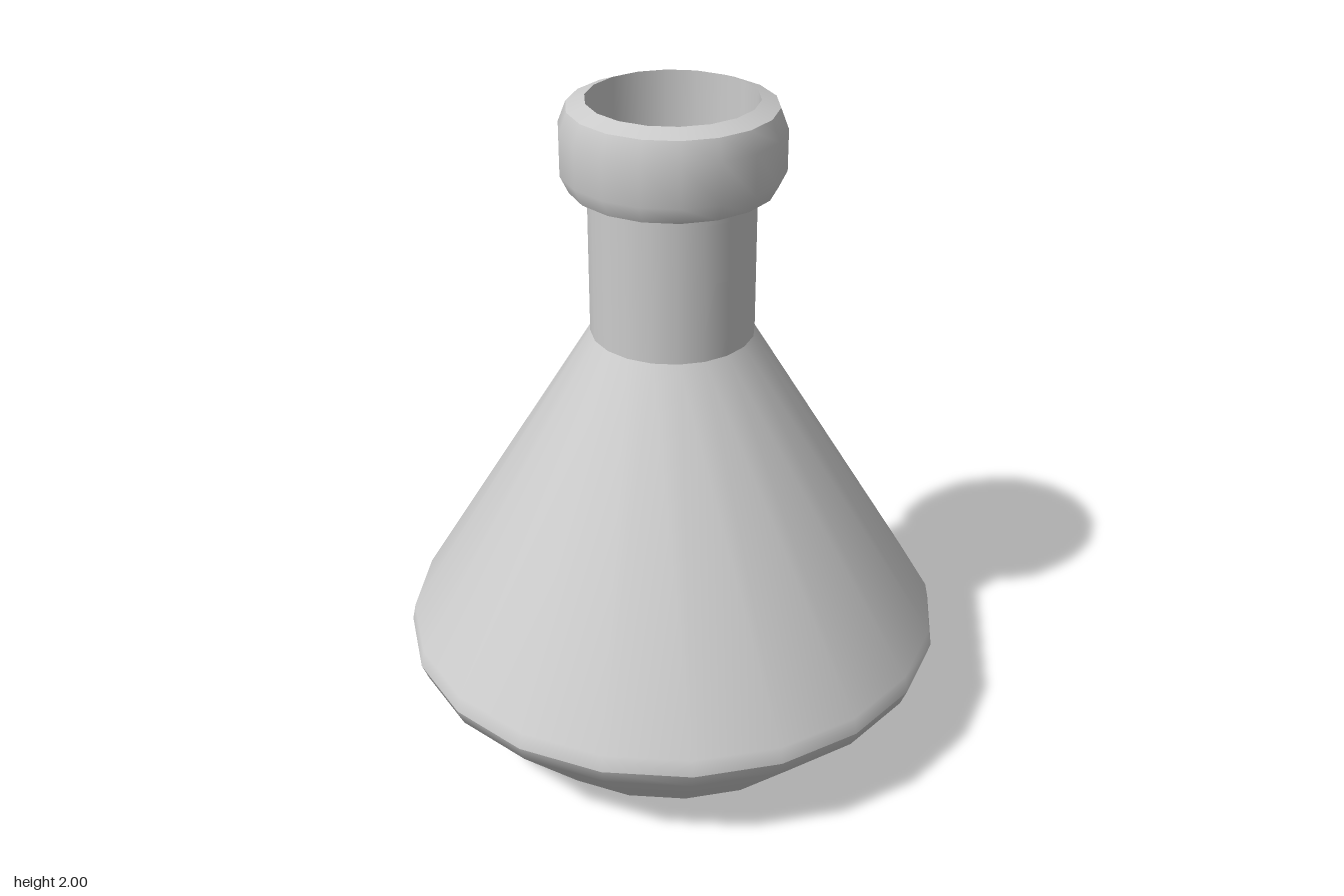
import * as THREE from 'three';

const glass = new THREE.MeshStandardMaterial({ color: 0xcccccc, side: THREE.DoubleSide });

// One smooth-shaded band of the flask; separate bands leave a crisp crease between them.
function band(name, sides, profile) {
  const points = profile.map(([r, y]) => new THREE.Vector2(r, y));
  const mesh = new THREE.Mesh(new THREE.LatheGeometry(points, sides), glass);
  mesh.name = name;
  return mesh;
}

export function createModel() {
  const flask = new THREE.Group();
  flask.name = 'flask';
  const bodySides = 20;
  const collarSides = 18;

  // Flat base, seen from below and through the open neck
  const base = new THREE.Mesh(new THREE.CircleGeometry(0.545, bodySides), glass);
  base.name = 'base';
  base.rotation.x = Math.PI / 2;
  flask.add(base);

  // Conical body with a slightly rounded rim, and the straight neck
  flask.add(
    band('lowerBody', bodySides, [[0.545, 0], [0.8, 0.265], [0.82, 0.315]]),
    band('upperBody', bodySides, [[0.82, 0.315], [0.81, 0.365], [0.24, 1.305]]),
    band('neck', bodySides, [[0.24, 1.305], [0.24, 1.735]])
  );

  // Bulging collar around the open mouth
  const collar = new THREE.Group();
  collar.name = 'collar';
  collar.add(
    band('collarUnderside', collarSides, [[0.24, 1.73], [0.295, 1.75]]),
    band('collarSide', collarSides, [[0.295, 1.75], [0.319, 1.8], [0.319, 1.92], [0.296, 1.98]]),
    band('collarLip', collarSides, [[0.296, 1.98], [0.243, 2]]),
    band('mouthWall', collarSides, [[0.243, 2], [0.24, 1.73]])
  );
  flask.add(collar);

  return flask;
}
